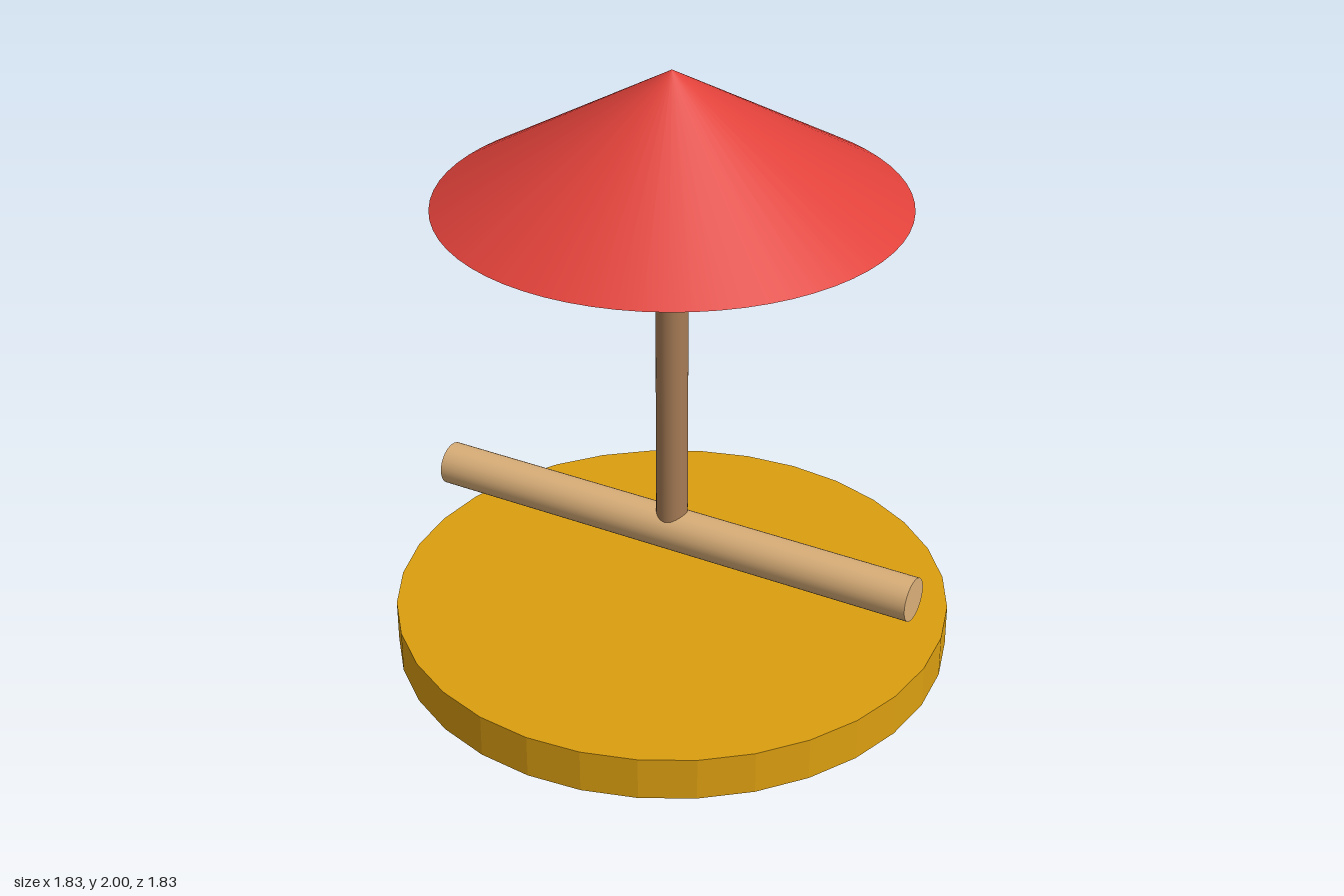
import * as THREE from 'three';

export function createModel() {
  const group = new THREE.Group();
  const material = (name, color, flatShading = false) => {
    const m = new THREE.MeshStandardMaterial({ color, flatShading });
    m.name = name;
    return m;
  };
  const add = (name, geometry, mat, y) => {
    const mesh = new THREE.Mesh(geometry, mat);
    mesh.name = name;
    mesh.position.y = y;
    group.add(mesh);
    return mesh;
  };

  const gold = material('gold', 0xdb9e10, true);
  const lightWood = material('lightWood', 0xd9ae78);
  const brownWood = material('brownWood', 0xa67b55);
  const red = material('red', 0xe0413a);

  // Faceted round base
  add('base', new THREE.CylinderGeometry(0.917, 0.917, 0.145, 32), gold, 0.0725);

  // Horizontal bar floating above the base
  const bar = add('crossbar', new THREE.CylinderGeometry(0.072, 0.072, 1.735, 32), lightWood, 0.39);
  bar.rotation.z = Math.PI / 2;

  // Upright pole, seated in the bar
  add('pole', new THREE.CylinderGeometry(0.052, 0.052, 1.18, 32), brownWood, 0.98);

  // Conical canopy with closed underside
  add('canopy', new THREE.ConeGeometry(0.742, 0.43, 64), red, 1.785);

  return group;
}
